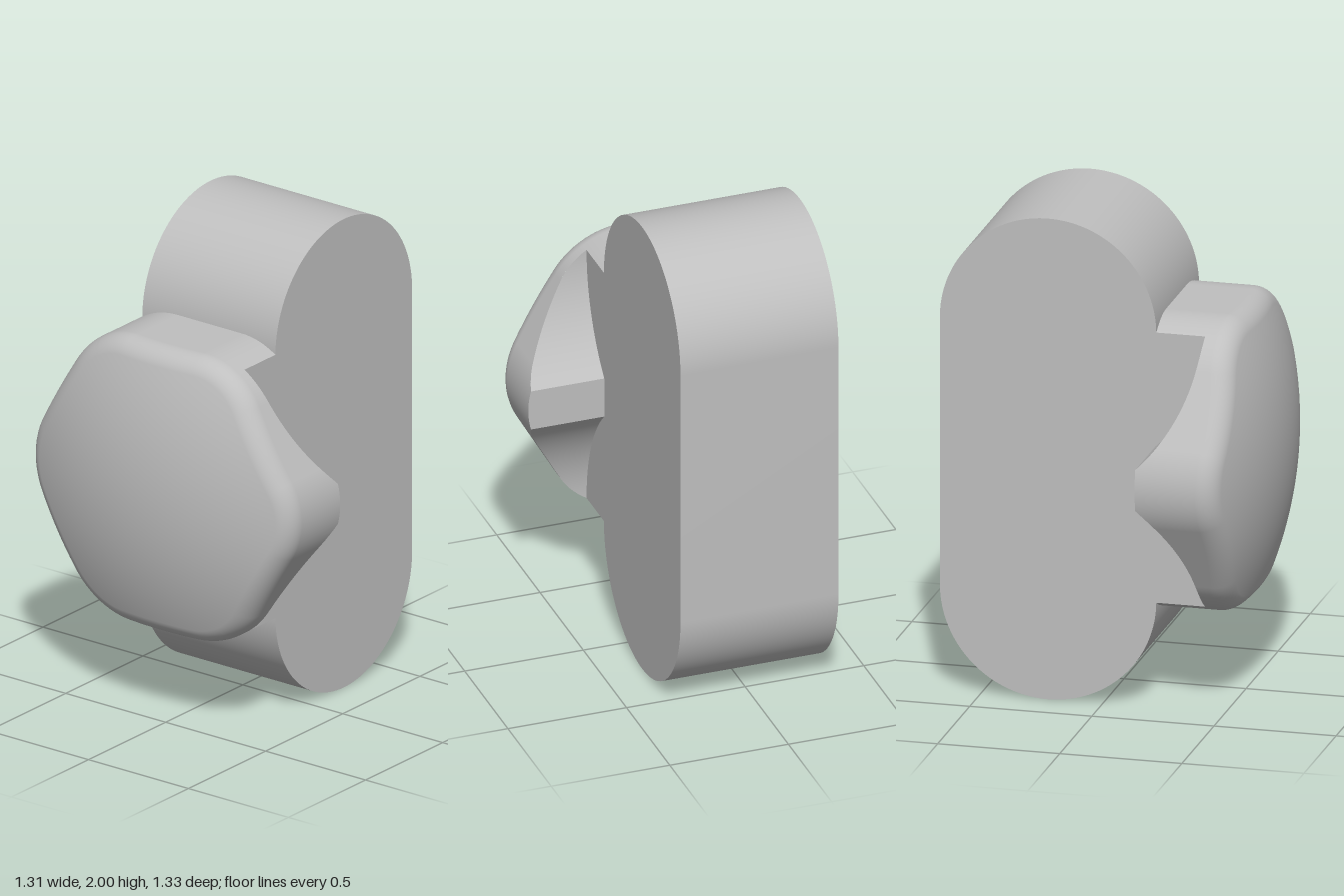
import * as THREE from 'three';
import { toCreasedNormals } from 'three/addons/utils/BufferGeometryUtils.js';

const HALF_W = 0.333;                    // half width of the body
const END_R = 0.443, END_Y = 0.557;      // rounded ends of the body
const BODY_Z = -0.223;
const APOTHEM = 0.61, CORNER_R = 0.33;   // rounded hexagon of the cap
const BACK_Z = 0.215, FRONT_Z = 0.667;
const DOME_R = 1.6, EDGE_R = 0.1;        // domed face and its rounded rim
const RELIEF_R = END_R + 0.2;            // clearance behind the cap
const CENTRE = (APOTHEM - CORNER_R) / Math.cos(Math.PI / 6);

// Surface through fn(u, v); it faces along du x dv. fn may give a normal as well.
function surface(nu, nv, fn) {
  const pos = [], nor = [], idx = [];
  for (let i = 0; i <= nu; i++) for (let j = 0; j <= nv; j++) {
    const { p, n } = fn(i, j);
    pos.push(...p);
    if (n) nor.push(...n);
    if (i < nu && j < nv) {
      const a = i * (nv + 1) + j, c = a + nv + 1;
      idx.push(a, c, a + 1, a + 1, c, c + 1);
    }
  }
  const g = new THREE.BufferGeometry();
  g.setAttribute('position', new THREE.Float32BufferAttribute(pos, 3));
  g.setIndex(idx);
  if (nor.length) g.setAttribute('normal', new THREE.Float32BufferAttribute(nor, 3));
  else g.computeVertexNormals();
  return g;
}

// Depth of the hollow behind the cap's overhanging sides
function reliefZ(y) {
  const d = Math.abs(y) - END_Y;
  return Math.max(BACK_Z, BODY_Z + Math.sqrt(Math.max(0, RELIEF_R ** 2 - d * d)));
}

// Half width of the rounded hexagon at height y
function hexHalfWidth(y) {
  const a = Math.abs(y), cy = CENTRE * Math.sin(Math.PI / 3);
  if (a <= CORNER_R / 2) return CENTRE + Math.sqrt(CORNER_R ** 2 - a * a);
  if (a >= cy + CORNER_R / 2) return CENTRE / 2 + Math.sqrt(CORNER_R ** 2 - (a - cy) ** 2);
  return (APOTHEM / Math.cos(Math.PI / 6)) - a / Math.sqrt(3);
}

// Counter-clockwise outline points with normals and rear depth
function hexOutline() {
  const raw = [];
  for (let k = 0; k < 6; k++) {
    const a = k * Math.PI / 3;
    for (let i = 0; i <= 16; i++) {
      const t = a - Math.PI / 6 + (i / 16) * Math.PI / 3;
      const nx = Math.cos(t), ny = Math.sin(t);
      raw.push({ x: CENTRE * Math.cos(a) + CORNER_R * nx, y: CENTRE * Math.sin(a) + CORNER_R * ny, nx, ny });
    }
    // straight side towards the next corner
    const p = raw[raw.length - 1], len = CENTRE;
    for (let i = 1; i < 12; i++) {
      const s = len * i / 12;
      raw.push({ x: p.x - p.ny * s, y: p.y + p.nx * s, nx: p.nx, ny: p.ny });
    }
  }
  raw.push(raw[0]);
  const out = [], isSide = (p) => Math.abs(p.x) > HALF_W;
  raw.forEach((p, i) => {
    const q = raw[i - 1];
    if (q && isSide(p) !== isSide(q)) {
      // step in the rear edge where the overhang begins
      const x = Math.sign(p.x) * HALF_W, t = (x - q.x) / (p.x - q.x);
      const m = { x, y: q.y + (p.y - q.y) * t, nx: p.nx, ny: p.ny };
      for (const s of [isSide(q), isSide(p)]) out.push({ ...m, back: s ? reliefZ(m.y) : BACK_Z });
    }
    out.push({ ...p, back: isSide(p) ? reliefZ(p.y) : BACK_Z });
  });
  return out;
}

// Side wall, rounded rim and domed face in one smooth skin
function capSkin() {
  const pts = hexOutline(), RIM = 10, DOME = 14, zs = FRONT_Z - DOME_R;
  return surface(pts.length - 1, 1 + RIM + DOME, (i, j) => {
    const o = pts[i];
    const flat = new THREE.Vector3(o.nx, o.ny, 0);
    const cx = o.x - EDGE_R * o.nx, cy = o.y - EDGE_R * o.ny;
    const h = Math.sqrt((DOME_R - EDGE_R) ** 2 - cx * cx - cy * cy);
    if (j === 0) return { p: [o.x, o.y, o.back], n: flat.toArray() };
    const up = new THREE.Vector3(cx, cy, h).normalize();
    if (j <= 1 + RIM) {
      const ang = flat.angleTo(up), t = (j - 1) / RIM;
      const n = flat.multiplyScalar(Math.sin((1 - t) * ang)).addScaledVector(up, Math.sin(t * ang)).normalize();
      return { p: [cx + EDGE_R * n.x, cy + EDGE_R * n.y, zs + h + EDGE_R * n.z], n: n.toArray() };
    }
    const t = 1 - (j - 1 - RIM) / DOME;
    const x = up.x * DOME_R * t, y = up.y * DOME_R * t;
    const z = Math.sqrt(DOME_R ** 2 - x * x - y * y);
    return { p: [x, y, zs + z], n: [x / DOME_R, y / DOME_R, z / DOME_R] };
  });
}

export function createModel() {
  const model = new THREE.Group();
  const grey = new THREE.MeshStandardMaterial({ color: 0xbfbfbf });
  grey.name = 'grey';
  const add = (parent, name, geometry) => {
    const m = new THREE.Mesh(geometry, grey);
    m.name = name;
    parent.add(m);
    return m;
  };

  // Body: a tall slab with fully rounded ends
  const s = new THREE.Shape();
  s.moveTo(END_R, -END_Y);
  s.lineTo(END_R, END_Y);
  s.absarc(0, END_Y, END_R, 0, Math.PI, false);
  s.lineTo(-END_R, -END_Y);
  s.absarc(0, -END_Y, END_R, Math.PI, Math.PI * 2, false);
  const slab = new THREE.ExtrudeGeometry(s, { depth: HALF_W * 2, bevelEnabled: false, curveSegments: 48 });
  slab.translate(0, 0, -HALF_W).rotateY(Math.PI / 2);
  add(model, 'body', toCreasedNormals(slab, 0.5)).position.set(0, 1, BODY_Z);

  // Cap: domed rounded hexagon with hollowed overhangs
  const cap = new THREE.Group();
  cap.name = 'hexagonalCap';
  cap.position.y = 1;
  model.add(cap);
  add(cap, 'capShell', capSkin());

  const yFlat = END_Y - Math.sqrt(RELIEF_R ** 2 - (BACK_Z - BODY_Z) ** 2);
  const dx = HALF_W - CENTRE / 2;
  const yTop = CENTRE * Math.sin(Math.PI / 3) + Math.sqrt(CORNER_R ** 2 - dx * dx);
  const lerp = THREE.MathUtils.lerp;
  for (const side of [1, -1]) {
    const label = side > 0 ? 'left' : 'right';
    const along = (v) => (side > 0 ? v : 1 - v);
    // rear of the overhang: two curved hollows and a flat strip
    [[-yTop, -yFlat, 'LowerHollow'], [-yFlat, yFlat, 'FlatStrip'], [yFlat, yTop, 'UpperHollow']].forEach(([a, b, name]) => {
      add(cap, label + name, surface(32, 4, (i, j) => {
        const y = lerp(a, b, i / 32);
        return { p: [side * lerp(HALF_W, hexHalfWidth(y), along(j / 4)), y, reliefZ(y)] };
      }));
    });
    // neck wall between body and hollow
    add(cap, label + 'NeckWall', surface(64, 1, (i, j) => {
      const y = lerp(-yTop, yTop, i / 64);
      return { p: [side * HALF_W, y, lerp(BACK_Z, reliefZ(y), along(j))], n: [side, 0, 0] };
    }));
  }
  return model;
}
